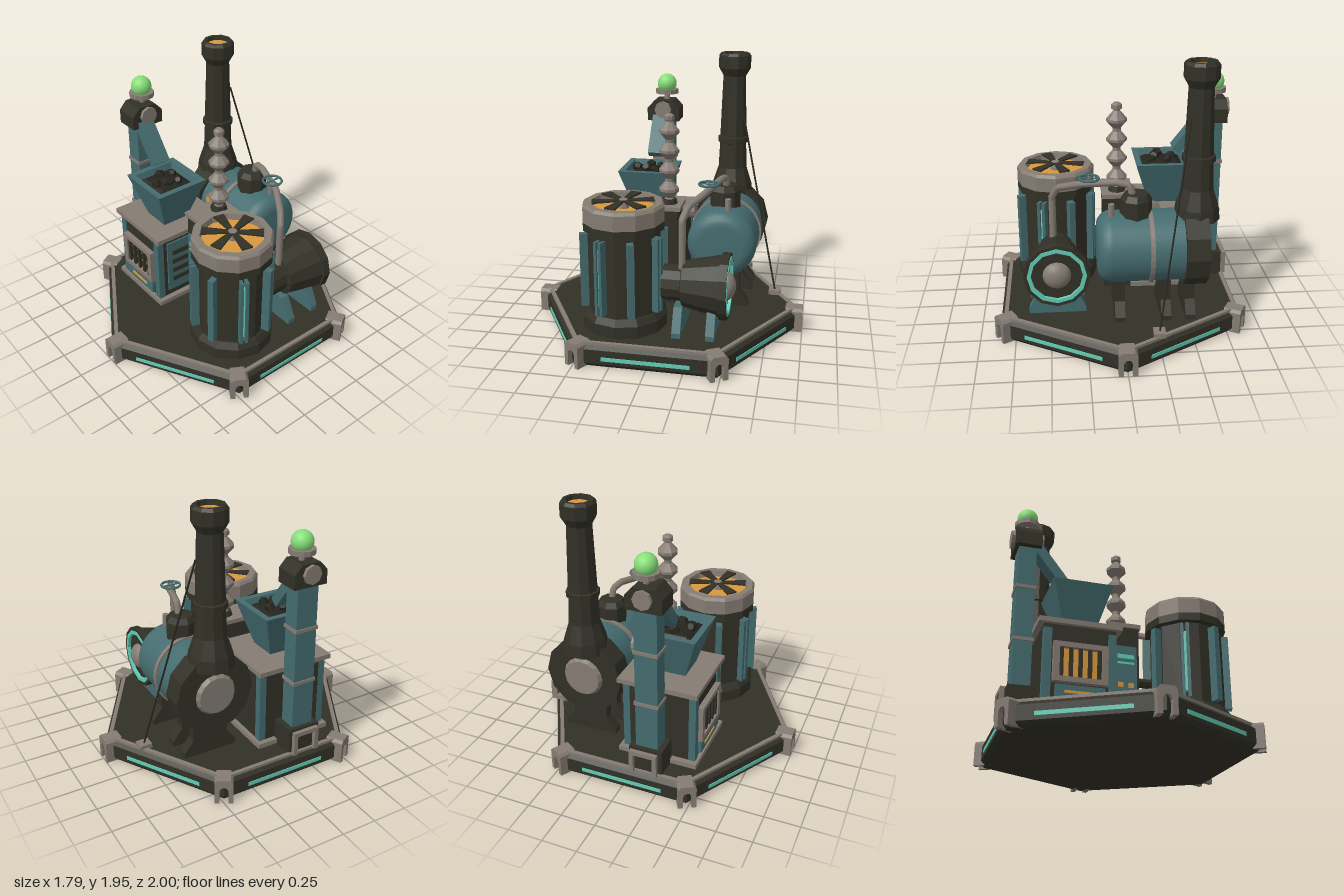
import * as THREE from 'three';

const mat = (name, color, side = THREE.FrontSide) => {
  const m = new THREE.MeshStandardMaterial({ color, side });
  m.name = name;
  return m;
};
const V = (x, y, z) => new THREE.Vector3(x, y, z);

export function createModel() {
  const dark = mat('dark iron', 0x323127);
  const teal = mat('teal paint', 0x456c6f, THREE.DoubleSide);
  const gray = mat('worn steel', 0x857c73);
  const orange = mat('furnace glow', 0xd9973f);
  const glow = mat('teal light', 0x62cdb5);
  const green = mat('beacon green', 0x86de79);
  const coal = mat('coal', 0x25241d);
  const root = new THREE.Group();

  // Helpers: faceted geometry, placed meshes and simple primitives
  const flat = (g) => {
    const f = g.index ? g.toNonIndexed() : g;
    f.computeVertexNormals();
    return f;
  };
  const add = (name, geo, m, p = [0, 0, 0], r = [0, 0, 0], parent = root) => {
    const mesh = new THREE.Mesh(geo, m);
    mesh.name = name;
    mesh.position.set(...p);
    mesh.rotation.set(...r);
    parent.add(mesh);
    return mesh;
  };
  const group = (name, p = [0, 0, 0], ry = 0) => {
    const g = new THREE.Group();
    g.name = name;
    g.position.set(...p);
    g.rotation.y = ry;
    root.add(g);
    return g;
  };
  // Box given by its limits on each axis
  const box = (name, m, x0, x1, y0, y1, z0, z1, parent = root) =>
    add(name, new THREE.BoxGeometry(x1 - x0, y1 - y0, z1 - z0), m,
      [(x0 + x1) / 2, (y0 + y1) / 2, (z0 + z1) / 2], [0, 0, 0], parent);
  const cyl = (r1, r0, h, n = 12) => flat(new THREE.CylinderGeometry(r1, r0, h, n));
  const lathe = (pts, n) => new THREE.LatheGeometry(pts.map(([r, y]) => new THREE.Vector2(r, y)), n);
  const prism = (pts, depth) => {
    const s = new THREE.Shape(pts.map(([x, y]) => new THREE.Vector2(x, y)));
    const g = new THREE.ExtrudeGeometry(s, { depth, bevelEnabled: false });
    return g.translate(0, 0, -depth / 2);
  };
  const rod = (name, m, a, b, r, n = 6) => {
    const mesh = add(name, cyl(r, r, a.distanceTo(b), n), m);
    mesh.position.copy(a).lerp(b, 0.5);
    mesh.quaternion.setFromUnitVectors(V(0, 1, 0), b.clone().sub(a).normalize());
    return mesh;
  };

  // Hexagonal base with edge trim, light strips and corner caps
  add('base', flat(lathe([[0, 0], [0.95, 0], [0.98, 0.03], [0.98, 0.13], [0.935, 0.165], [0, 0.165]], 6)), dark);
  const arch = [[-0.063, 0], [-0.03, 0], [-0.03, 0.095], [-0.015, 0.12], [0.015, 0.12], [0.03, 0.095],
    [0.03, 0], [0.063, 0], [0.063, 0.155], [0.045, 0.175], [-0.045, 0.175], [-0.063, 0.155]];
  for (let i = 0; i < 6; i++) {
    const side = group('baseSide', [0, 0, 0], (i + 0.5) * Math.PI / 3);
    box('edgeTrim', gray, -0.44, 0.44, 0.155, 0.174, 0.8, 0.828, side);
    box('lightStrip', glow, -0.3, 0.3, 0.055, 0.082, 0.844, 0.854, side);
    const corner = group('baseCorner', [0, 0, 0], i * Math.PI / 3);
    add('cornerCap', prism(arch, 0.125), gray, [0, 0, 0.937], [0, 0, 0], corner);
  }

  // Furnace
  box('furnaceFoot', gray, -0.66, -0.1, 0.165, 0.2, -0.1, 0.48);
  box('furnaceBody', dark, -0.62, -0.14, 0.2, 0.73, -0.07, 0.45);
  box('furnaceTop', gray, -0.66, -0.1, 0.73, 0.765, -0.1, 0.48);
  for (const x of [-0.595, -0.165]) for (const z of [-0.05, 0.435])
    box('furnacePost', teal, x - 0.027, x + 0.027, 0.2, 0.7, z - 0.025, z + 0.025);
  const fr = new THREE.Shape([[-0.18, -0.135], [0.18, -0.135], [0.18, 0.135], [-0.18, 0.135]].map(p => new THREE.Vector2(...p)));
  fr.holes.push(new THREE.Path([[-0.14, -0.1], [-0.14, 0.1], [0.14, 0.1], [0.14, -0.1]].map(p => new THREE.Vector2(...p))));
  add('windowFrame', new THREE.ExtrudeGeometry(fr, { depth: 0.045, bevelEnabled: false }), gray, [-0.38, 0.465, 0.445]);
  box('windowGlow', orange, -0.52, -0.24, 0.365, 0.565, 0.45, 0.458);
  for (let i = 0; i < 5; i++) {
    const x = -0.505 + i * 0.0625;
    box('windowBar', dark, x - 0.012, x + 0.012, 0.365, 0.565, 0.458, 0.48);
  }
  box('ashDrawer', teal, -0.54, -0.215, 0.22, 0.315, 0.445, 0.475);
  box('drawerGlow', orange, -0.48, -0.285, 0.258, 0.276, 0.474, 0.482);
  box('ventPanel', teal, -0.145, -0.128, 0.25, 0.68, 0.06, 0.38);
  for (let i = 0; i < 4; i++) box('ventSlat', dark, -0.13, -0.118, 0.33 + i * 0.08, 0.365 + i * 0.08, 0.1, 0.34);

  // Hopper: open four-sided funnel with a rim and coal
  const hopper = group('hopper', [-0.353, 0, 0.213]);
  const q = Math.SQRT2;
  const funnel = flat(lathe([[0.105 * q, 0.765], [0.207 * q, 1.09], [0.163 * q, 1.09], [0.135 * q, 0.98]], 4));
  add('hopperShell', funnel.rotateY(Math.PI / 4), teal, [0, 0, 0], [0, 0, 0], hopper);
  add('coalBed', flat(lathe([[0.16 * q, 1.03], [0.11 * q, 1.07], [0, 1.09]], 4)).rotateY(Math.PI / 4),
    coal, [0, 0, 0], [0, 0, 0], hopper);
  for (const [x, z, s] of [[-0.07, 0.01, 0.04], [0.05, 0.02, 0.045], [0.02, 0.1, 0.04], [-0.03, -0.07, 0.035], [0.08, -0.05, 0.035]])
    add('coalLump', flat(new THREE.DodecahedronGeometry(s, 0)), coal, [x, 1.085, z], [x * 20, z * 30, 1], hopper);

  // Elevator with head, chute and beacon
  box('elevatorBase', dark, -0.81, -0.63, 0.165, 0.35, 0.05, 0.29);
  box('elevatorShaft', teal, -0.78, -0.655, 0.35, 1.41, 0.09, 0.25);
  for (const y of [0.69, 1.08]) box('shaftBand', gray, -0.788, -0.647, y - 0.012, y + 0.012, 0.082, 0.258);
  const head = [[-0.125, 1.39], [0.125, 1.39], [0.125, 1.49], [0.07, 1.55], [-0.07, 1.55], [-0.125, 1.49]];
  add('elevatorHead', prism(head, 0.18), dark, [-0.715, 0, 0.17], [0, Math.PI / 2, 0]);
  add('headDrum', cyl(0.066, 0.066, 0.23, 8), gray, [-0.715, 1.48, 0.17], [0, 0, Math.PI / 2]);
  add('chute', new THREE.BoxGeometry(0.07, 0.34, 0.125), teal, [-0.555, 1.29, 0.19], [0, 0, 0.66]);
  add('beaconStem', cyl(0.022, 0.022, 0.08, 8), gray, [-0.715, 1.575, 0.155]);
  add('beaconPlate', cyl(0.09, 0.09, 0.035, 12), gray, [-0.715, 1.615, 0.155]);
  add('beacon', new THREE.SphereGeometry(0.075, 20, 14), green, [-0.715, 1.675, 0.155]);
  for (const z of [0.08, 0.25]) box('railPost', gray, -0.85, -0.82, 0.165, 0.34, z - 0.015, z + 0.015);
  box('railTop', gray, -0.85, -0.82, 0.31, 0.34, 0.065, 0.265);

  // Control cabinet
  box('cabinetBody', dark, -0.1, 0.1, 0.165, 0.885, -0.08, 0.21);
  box('cabinetTop', gray, -0.115, 0.112, 0.885, 0.915, -0.1, 0.225);
  box('cabinetPanel', teal, -0.08, 0.08, 0.28, 0.74, 0.205, 0.225);
  box('statusLight', glow, -0.06, 0.06, 0.645, 0.675, 0.224, 0.231);
  box('statusLight', glow, -0.06, 0.06, 0.605, 0.62, 0.224, 0.231);
  for (const x of [-0.038, 0.038]) box('cabinetLamp', orange, x - 0.018, x + 0.018, 0.435, 0.47, 0.224, 0.231);
  add('cabinetDuct', cyl(0.035, 0.035, 0.14, 8), dark, [0.15, 0.5, 0.17], [0, 0, Math.PI / 2]);

  // Ribbed insulator
  add('insulatorCollar', cyl(0.055, 0.065, 0.04, 8), dark, [0, 0.93, 0]);
  const ribs = [[0.04, 0.94]];
  for (let i = 0; i < 4; i++) {
    const y = 1.02 + i * 0.143;
    ribs.push([0.03, y - 0.06], [0.074, y - 0.01], [0.074, y + 0.01], [0.03, y + 0.06]);
  }
  ribs.push([0.022, 1.52], [0.038, 1.53], [0.038, 1.56], [0.02, 1.575], [0, 1.575]);
  add('insulator', flat(lathe(ribs, 8)), gray);

  // Cooling tower with ribs and top fan
  const tower = group('coolingTower', [0.44, 0, 0.23]);
  const tAdd = (n, g, m, p, r) => add(n, g, m, p, r, tower);
  tAdd('towerBody', flat(lathe([[0, 0.165], [0.3, 0.165], [0.3, 0.25], [0.27, 0.295], [0.255, 0.295], [0.255, 0.86],
    [0.285, 0.87], [0.285, 0.925], [0.2, 0.925]], 12)), dark);
  tAdd('towerRing', flat(lathe([[0.285, 0.925], [0.285, 1.03], [0.27, 1.05], [0.225, 1.05], [0.215, 0.99]], 12)), gray);
  tAdd('towerGlow', cyl(0.225, 0.225, 0.01, 12), orange, [0, 1.0, 0]);
  for (let i = 0; i < 8; i++) {
    const rib = new THREE.Group();
    rib.name = 'towerRib';
    rib.rotation.y = (i + 0.5) * Math.PI / 4;
    tower.add(rib);
    if (i % 2) {
      box('ribSide', teal, -0.03, -0.008, 0.31, 0.84, 0.24, 0.3, rib);
      box('ribSide', teal, 0.008, 0.03, 0.31, 0.84, 0.24, 0.3, rib);
      box('ribLight', glow, -0.008, 0.008, 0.36, 0.78, 0.24, 0.285, rib);
    } else box('ribPlate', teal, -0.022, 0.022, 0.31, 0.84, 0.24, 0.305, rib);
  }
  const blade = prism([[-0.015, 0.02], [0.015, 0.02], [0.045, 0.21], [-0.035, 0.21]], 0.012).rotateX(Math.PI / 2);
  for (let i = 0; i < 6; i++) tAdd('fanBlade', blade, dark, [0, 1.055, 0], [0, i * Math.PI / 3 + 0.3, 0]);
  tAdd('fanHub', cyl(0.03, 0.04, 0.06, 8), gray, [0, 1.035, 0]);

  // Boiler with smokebox, band, dome and saddles
  const boiler = [[0.25, -0.47]];
  for (let i = 0; i <= 6; i++) {
    const a = i * Math.PI / 12;
    boiler.push([0.15 + 0.1 * Math.cos(a), 0.07 + 0.1 * Math.sin(a)]);
  }
  boiler.push([0, 0.175]);
  add('boiler', lathe(boiler, 32), teal, [0, 0.66, -0.4], [0, 0, -Math.PI / 2]);
  add('boilerBand', cyl(0.263, 0.263, 0.03, 32), gray, [-0.195, 0.66, -0.4], [0, 0, Math.PI / 2]);
  add('smokebox', cyl(0.285, 0.285, 0.16, 12), dark, [-0.5, 0.66, -0.4], [0, 0, Math.PI / 2]);
  add('smokeboxDoor', cyl(0.13, 0.15, 0.03, 16), gray, [-0.592, 0.66, -0.4], [0, 0, Math.PI / 2]);
  for (const x of [-0.47, -0.3, 0.02])
    add('boilerSaddle', prism([[-0.2, 0.165], [0.2, 0.165], [0.2, 0.2], [0.13, 0.29], [0.13, 0.47], [-0.13, 0.47], [-0.13, 0.29], [-0.2, 0.2]], 0.07),
      dark, [x, 0, -0.4], [0, Math.PI / 2, 0]);
  add('steamDome', flat(lathe([[0.11, 0.85], [0.11, 1.01], [0.085, 1.05], [0, 1.055]], 8)), dark, [-0.1, 0, -0.4]);
  add('safetyValve', cyl(0.022, 0.022, 0.12, 8), gray, [0.07, 0.93, -0.44]);
  add('gauge', cyl(0.07, 0.07, 0.05, 12), gray, [-0.24, 0.8, -0.135], [Math.PI / 2, 0, 0]);
  add('gaugeFace', cyl(0.05, 0.05, 0.008, 12), orange, [-0.24, 0.8, -0.108], [Math.PI / 2, 0, 0]);

  // Chimney and its stay wire
  add('chimney', flat(lathe([[0.16, 0.86], [0.15, 0.95], [0.108, 1.08], [0.1, 1.27], [0.115, 1.275], [0.115, 1.315], [0.1, 1.32],
    [0.085, 1.78], [0.12, 1.84], [0.12, 1.93], [0.105, 1.95], [0.08, 1.95], [0.075, 1.9]], 10)), dark, [-0.52, 0, -0.4]);
  add('chimneyGlow', cyl(0.08, 0.08, 0.01, 10), orange, [-0.52, 1.915, -0.4]);
  rod('stayWire', coal, V(-0.45, 1.58, -0.465), V(-0.23, 0.19, -0.78), 0.007);
  box('stayAnchor', gray, -0.27, -0.19, 0.165, 0.2, -0.825, -0.735);

  // Blower horn on two stands
  add('blowerHorn', flat(lathe([[0, -0.2], [0.125, -0.2], [0.125, -0.07], [0.16, -0.06], [0.215, 0.2], [0.232, 0.2],
    [0.232, 0.255], [0.21, 0.255], [0.205, 0.235], [0, 0.235]], 12)), dark, [0.45, 0.49, -0.25], [-Math.PI / 2, 0, 0]);
  add('blowerLight', flat(lathe([[0.207, 0.25], [0.207, 0.258], [0.18, 0.258], [0.18, 0.23]], 12)), glow,
    [0.45, 0.49, -0.25], [-Math.PI / 2, 0, 0]);
  add('blowerHub', new THREE.SphereGeometry(0.1, 16, 6, 0, Math.PI * 2, 0, Math.PI / 2).scale(1, 0.7, 1), gray,
    [0.45, 0.49, -0.48], [-Math.PI / 2, 0, 0]);
  for (const z of [-0.17, -0.4])
    add('blowerStand', prism([[-0.2, 0.165], [0.2, 0.165], [0.2, 0.2], [0.12, 0.36], [-0.12, 0.36], [-0.2, 0.2]], 0.06), teal, [0.45, 0, z]);

  // Steam pipe and hand wheel
  const path = new THREE.CurvePath();
  const pts = [V(-0.08, 1.02, -0.41), V(-0.06, 1.11, -0.405), V(0.03, 1.125, -0.385), V(0.27, 1.09, -0.31),
    V(0.43, 1.03, -0.21), V(0.47, 0.95, -0.18), V(0.47, 0.6, -0.18)];
  for (let i = 1; i < pts.length; i++) path.add(new THREE.LineCurve3(pts[i - 1], pts[i]));
  add('steamPipe', new THREE.TubeGeometry(path, 40, 0.025, 8), gray);
  add('handWheel', new THREE.TorusGeometry(0.068, 0.009, 6, 20), teal, [0.215, 1.135, -0.32], [Math.PI / 2, 0, 0]);
  add('wheelStem', cyl(0.01, 0.01, 0.06, 6), gray, [0.215, 1.115, -0.32]);
  for (const r of [0, Math.PI / 2])
    add('wheelSpoke', new THREE.BoxGeometry(0.13, 0.008, 0.01), teal, [0.215, 1.135, -0.32], [0, r, 0]);

  return root;
}
